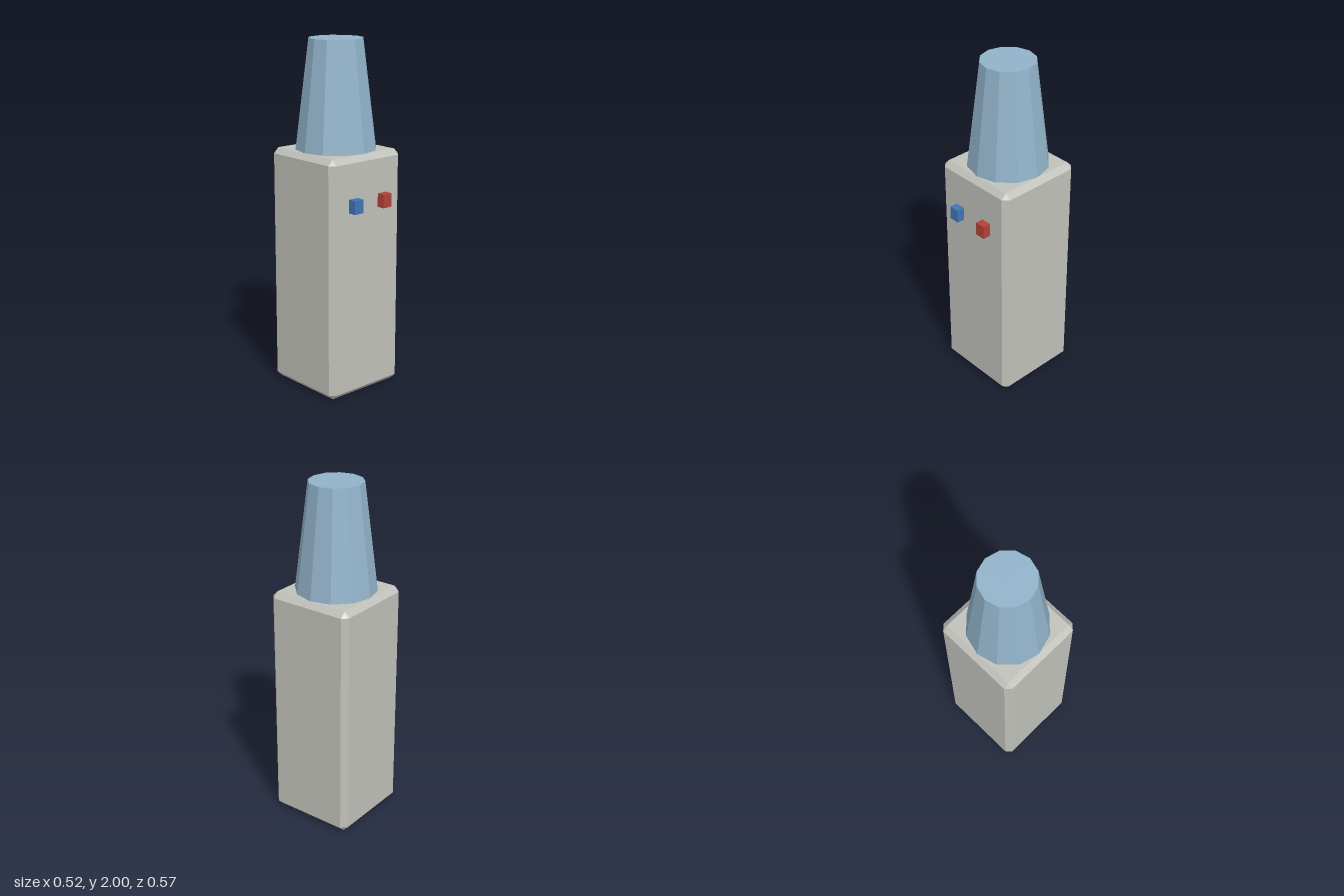
import * as THREE from 'three';
import { ConvexGeometry } from 'three/addons/geometries/ConvexGeometry.js';

const mat = (name, color) => {
  const m = new THREE.MeshStandardMaterial({ color, flatShading: true });
  m.name = name;
  return m;
};

// Box with every edge cut at 45 degrees: each face is inset by the chamfer
function chamferedBox(w, h, d, c) {
  const points = [];
  for (const sx of [-1, 1]) for (const sy of [-1, 1]) for (const sz of [-1, 1]) {
    const [x, y, z] = [w / 2, h / 2, d / 2];
    points.push(
      new THREE.Vector3(sx * x, sy * (y - c), sz * (z - c)),
      new THREE.Vector3(sx * (x - c), sy * y, sz * (z - c)),
      new THREE.Vector3(sx * (x - c), sy * (y - c), sz * z)
    );
  }
  return new ConvexGeometry(points);
}

export function createModel() {
  const model = new THREE.Group();
  const grey = mat('body grey', 0xc1c1bb);
  const paleBlue = mat('pale blue', 0x92b3ca);
  const red = mat('button red', 0xb5423a);
  const blue = mat('button blue', 0x4175b5);

  const add = (name, geometry, material, x, y, z) => {
    const mesh = new THREE.Mesh(geometry, material);
    mesh.name = name;
    mesh.position.set(x, y, z);
    model.add(mesh);
  };

  const bodyHeight = 1.385, bodyZ = -0.0235;

  // Tall chamfered body
  add('body', chamferedBox(0.523, bodyHeight, 0.523, 0.031), grey, 0, bodyHeight / 2, bodyZ);

  // Twelve-sided tapered top
  const topHeight = 2 - bodyHeight;
  add('taperedTop', new THREE.CylinderGeometry(0.154, 0.231, topHeight, 12), paleBlue,
    0, bodyHeight + topHeight / 2, bodyZ);

  // Two buttons on the front
  const button = new THREE.BoxGeometry(0.0615, 0.077, 0.062);
  add('leftButton', button, red, 0.1075, 1.118, 0.254);
  add('rightButton', button, blue, -0.1075, 1.118, 0.254);

  return model;
}
